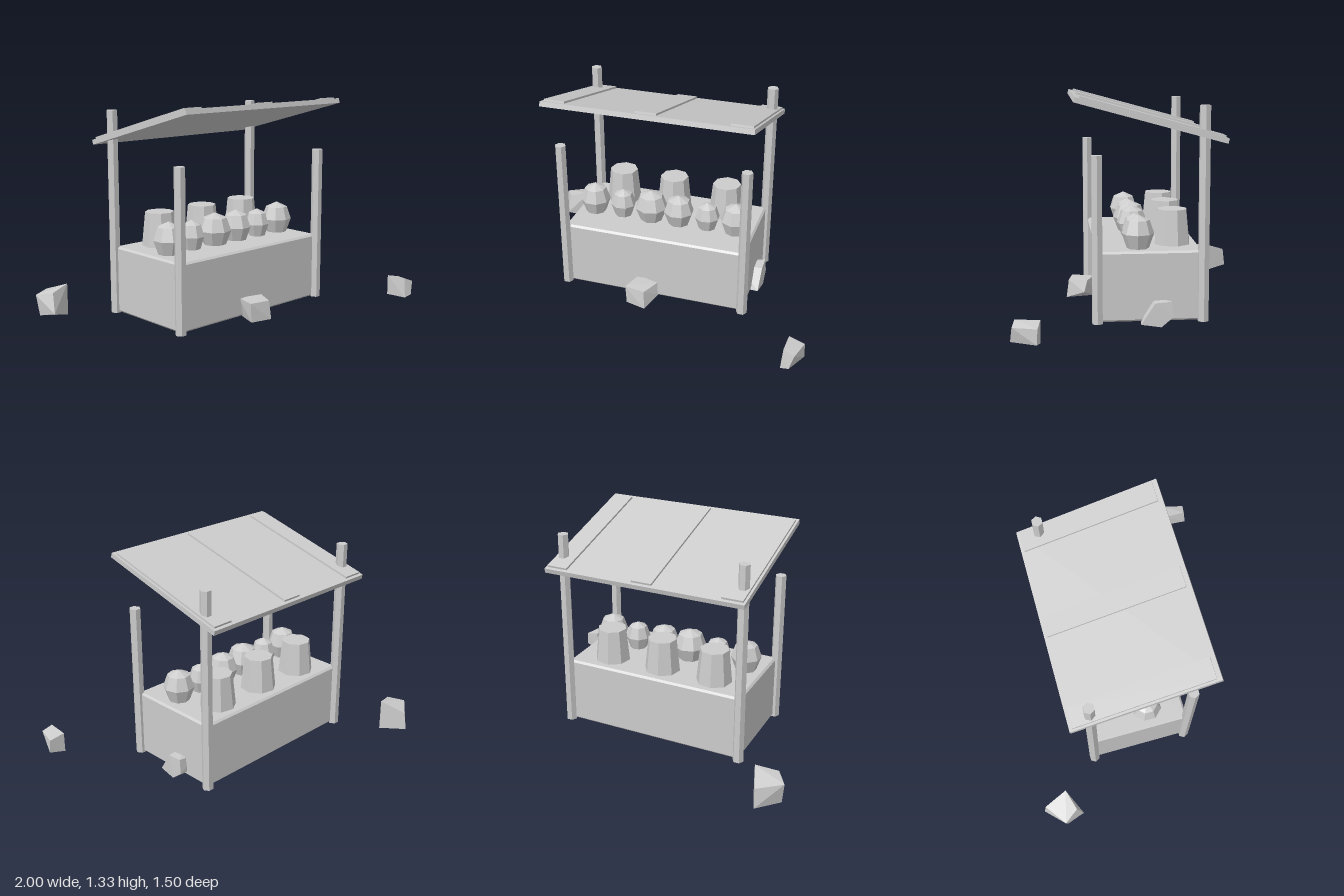
import * as THREE from 'three';
import { ConvexGeometry } from 'three/addons/geometries/ConvexGeometry.js';

export function createModel() {
  const model = new THREE.Group();
  model.name = 'marketStall';
  const grey = new THREE.MeshStandardMaterial({ color: 0xcccccc, flatShading: true });
  grey.name = 'plainGrey';

  const add = (name, geometry, x = 0, y = 0, z = 0, parent = model) => {
    const mesh = new THREE.Mesh(geometry, grey);
    mesh.name = name;
    mesh.position.set(x, y, z);
    parent.add(mesh);
    return mesh;
  };

  const cx = -0.032;

  // Counter: a solid block with chamfered edges
  const x0 = -0.61, x1 = 0.545, zFront = 0.268, zBack = -0.344, c = 0.012;
  const outline = new THREE.Shape();
  outline.moveTo(x0 + c, -zFront + c);
  outline.lineTo(x1 - c, -zFront + c);
  outline.lineTo(x1 - c, -zBack - c);
  outline.lineTo(x0 + c, -zBack - c);
  outline.closePath();
  const block = new THREE.ExtrudeGeometry(outline, {
    depth: 0.411 - 2 * c, bevelEnabled: true, bevelThickness: c, bevelSize: c, bevelSegments: 1,
  });
  block.rotateX(-Math.PI / 2);
  add('counter', block, 0, 0.036 + c, 0);

  // Six-sided posts, short in front and tall behind
  for (const [label, z, top] of [['front', zFront, 1.0], ['back', zBack, 1.277]]) {
    for (const [side, x] of [['Right', x0], ['Left', x1]]) {
      const h = top - 0.032;
      const post = new THREE.CylinderGeometry(0.034, 0.034, h, 6);
      post.rotateY(Math.PI / 6);
      add(label + side + 'Post', post, x, 0.032 + h / 2, z);
    }
  }

  // Sloping roof with three battens
  const roof = new THREE.Group();
  roof.name = 'roof';
  roof.position.set(cx, 1.195, -0.039);
  roof.rotation.x = -THREE.MathUtils.degToRad(15.2);
  model.add(roof);
  add('roofBoard', new THREE.BoxGeometry(1.268, 0.03, 0.893), 0, 0, 0, roof);
  for (const x of [-0.556, 0, 0.556]) {
    add('roofBatten', new THREE.BoxGeometry(0.128, 0.02, 0.845), x, 0.017, -0.004, roof);
  }

  // Faceted fruit in a row along the front: x, radius, height, turn, z
  const fruit = [
    [-0.495, 0.094, 0.195, 0, 0.03], [-0.308, 0.079, 0.178, 0.1, 0.024],
    [-0.12, 0.103, 0.198, 0.25, 0.024], [0.062, 0.095, 0.192, 0.1, 0.024],
    [0.248, 0.078, 0.175, 0.1, 0.024], [0.43, 0.095, 0.197, 0.3, 0.024],
  ];
  for (const [x, r, h, turn, z] of fruit) {
    const profile = [[0, 0], [0.68, 0], [1, 0.44], [0.72, 0.84], [0, 1]]
      .map(([a, b]) => new THREE.Vector2(a * r, b * h));
    const geo = new THREE.LatheGeometry(profile, 8);
    geo.rotateY(Math.PI / 8 + turn);
    add('fruit', geo, x, 0.446, z);
  }

  // Tapered baskets behind the fruit
  for (const x of [-0.38, -0.034, 0.314]) {
    const geo = new THREE.CylinderGeometry(0.089, 0.11, 0.209, 8);
    geo.rotateY(0.2);
    add('basket', geo, x, 0.551, -0.192);
  }

  // Irregular rocks, each the hull of a few corners
  const rocks = {
    backRightRock: [
      [-0.805, 0.2, -0.585], [-0.805, 0, -0.585], [-0.935, 0.172, -0.545], [-0.95, 0.05, -0.508],
      [-1, 0.155, -0.635], [-0.985, 0.025, -0.62], [-0.863, 0.147, -0.735], [-0.87, 0.03, -0.75],
    ],
    frontLeftRock: [
      [0.9, 0.167, 0.59], [0.995, 0.145, 0.605], [0.895, 0.173, 0.727], [0.96, 0.147, 0.74],
      [0.9, 0.04, 0.59], [1, 0.06, 0.61], [0.885, 0.05, 0.74], [0.935, 0.063, 0.75],
    ],
    frontRock: [
      [-0.17, 0.15, 0.39], [-0.04, 0.15, 0.415], [0.01, 0.155, 0.3], [-0.13, 0.15, 0.25],
      [-0.163, 0.033, 0.39], [-0.035, 0.037, 0.43], [0.02, 0.08, 0.32], [-0.1, 0.03, 0.24],
    ],
    leftRock: [
      [0.595, 0.155, -0.06], [0.595, 0.163, -0.155], [0.45, 0.16, -0.045], [0.45, 0.14, -0.15],
      [0.59, 0.03, 0.02], [0.6, 0.015, -0.095], [0.6, 0.075, -0.167], [0.385, 0.007, -0.09],
      [0.42, 0.03, 0.01], [0.42, 0.04, -0.15],
    ],
  };
  for (const [name, corners] of Object.entries(rocks)) {
    add(name, new ConvexGeometry(corners.map((p) => new THREE.Vector3(...p))));
  }

  return model;
}
